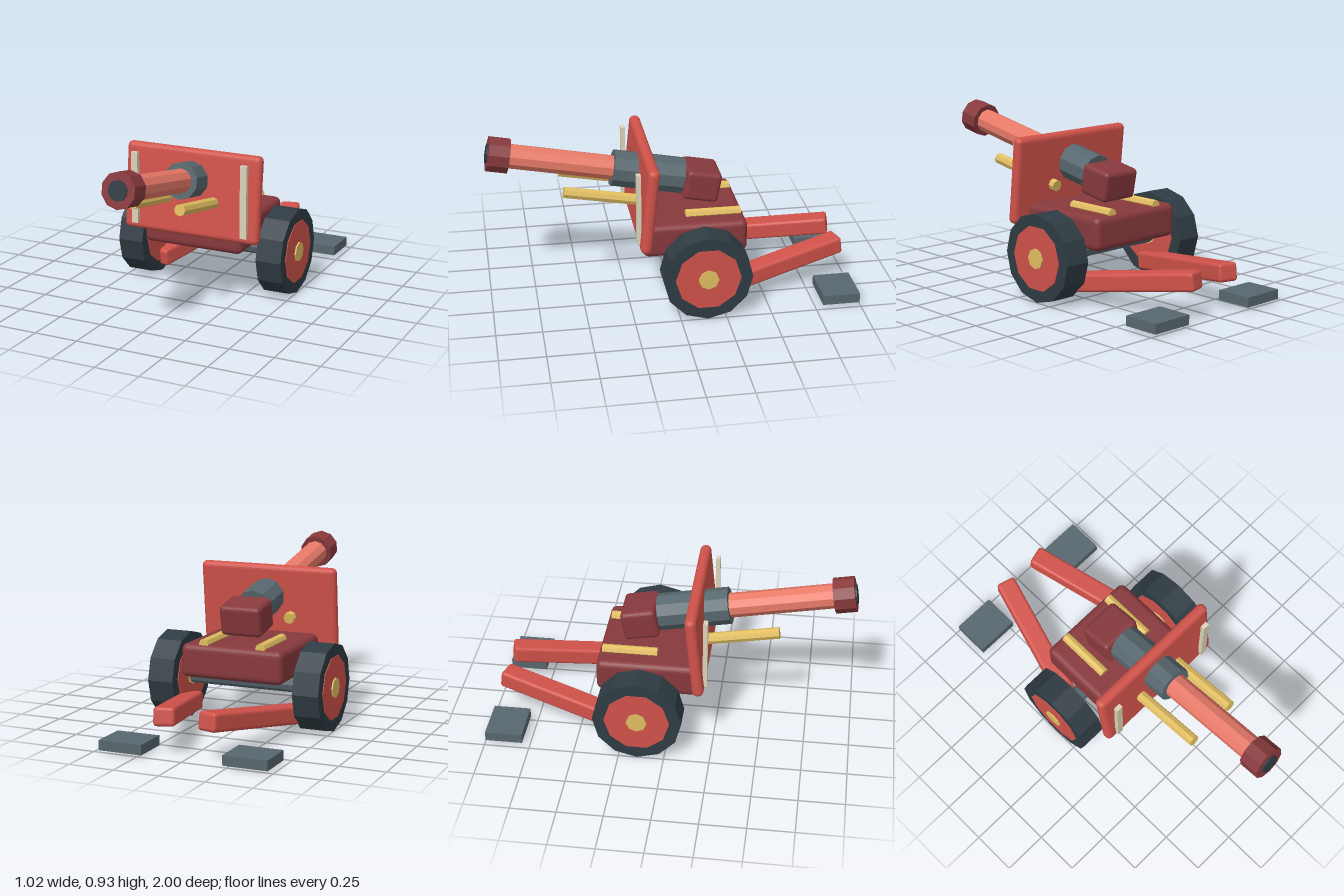
import * as THREE from 'three';
import { RoundedBoxGeometry } from 'three/addons/geometries/RoundedBoxGeometry.js';

const paint = (color) => new THREE.MeshStandardMaterial({ color, flatShading: true });
const red = paint(0xd0524a), darkRed = paint(0x87393d), salmon = paint(0xe87a68);
const steel = paint(0x57676e), rubber = paint(0x2f3c43), brass = paint(0xe0bd60), cream = paint(0xdcd3b8);

export function createModel() {
  const model = new THREE.Group();
  model.name = 'fieldGun';

  const add = (name, geometry, material, x, y, z, parent = model) => {
    const mesh = new THREE.Mesh(geometry, material);
    mesh.name = name;
    mesh.position.set(x, y, z);
    parent.add(mesh);
    return mesh;
  };
  const block = (w, h, d, r) => new RoundedBoxGeometry(w, h, d, 3, r);
  // Cylinders lying along x or along z
  const alongX = (r, length, sides) => new THREE.CylinderGeometry(r, r, length, sides).rotateZ(Math.PI / 2);
  const alongZ = (r, length, sides) => new THREE.CylinderGeometry(r, r, length, sides).rotateX(Math.PI / 2);

  // Carriage and axle
  add('carriage', block(0.59, 0.185, 0.574, 0.035), darkRed, 0, 0.377, -0.113);
  add('axle', alongX(0.048, 0.74, 10), steel, 0, 0.245, -0.147);

  // Tilted shield
  const shield = add('shield', block(0.808, 0.486, 0.062, 0.028), red, 0, 0.604, 0.15);
  shield.rotation.x = -0.1;

  // Gun on its elevated axis, z = 0 at the front of the sleeve
  const gun = new THREE.Group();
  gun.name = 'gun';
  gun.position.set(0, 0.708, 0.306);
  gun.rotation.x = -0.19;
  model.add(gun);
  const tube = (name, r, from, to, sides, material) =>
    add(name, alongZ(r, to - from, sides), material, 0, 0, (from + to) / 2, gun);
  tube('barrel', 0.068, -0.2, 0.6, 10, salmon);
  tube('sleeve', 0.102, -0.395, 0, 10, steel);
  tube('muzzle', 0.097, 0.57, 0.685, 10, darkRed);
  tube('bore', 0.054, 0.6, 0.694, 10, rubber);
  add('breech', block(0.238, 0.17, 0.197, 0.025), darkRed, 0, -0.011, -0.498, gun);

  // Mirrored parts
  for (const side of [1, -1]) {
    const wheel = new THREE.Group();
    wheel.name = side > 0 ? 'leftWheel' : 'rightWheel';
    wheel.position.set(side * 0.425, 0.244, -0.147);
    model.add(wheel);
    add('tyre', alongX(0.243, 0.148, 12), rubber, 0, 0, 0, wheel);
    add('hub', alongX(0.179, 0.156, 10), red, 0, 0, 0, wheel);
    add('axleCap', alongX(0.056, 0.172, 8), brass, 0, 0, 0, wheel);

    add('shieldStrip', new THREE.BoxGeometry(0.038, 0.405, 0.024), cream, side * 0.328, 0.603, 0.205);
    add('carriageRail', alongZ(0.028, 0.305, 8), brass, side * 0.165, 0.474, -0.227);
    const recoil = add('recoilCylinder', alongZ(0.032, 0.505, 8), brass, side * 0.138, 0.598, 0.337);
    recoil.rotation.x = -0.18;

    // Trail leg running back and inward from the axle
    const front = new THREE.Vector3(side * 0.355, 0.088, -0.12);
    const back = new THREE.Vector3(side * 0.118, 0.213, -0.955);
    const mid = front.clone().add(back).multiplyScalar(0.5);
    const trail = add('trailLeg', block(0.113, 0.1, front.distanceTo(back), 0.018), red, mid.x, mid.y, mid.z);
    trail.lookAt(back);

    add('groundPad', new THREE.BoxGeometry(0.244, 0.054, 0.206), steel, side * 0.349, 0.038, -0.897);
  }
  return model;
}
